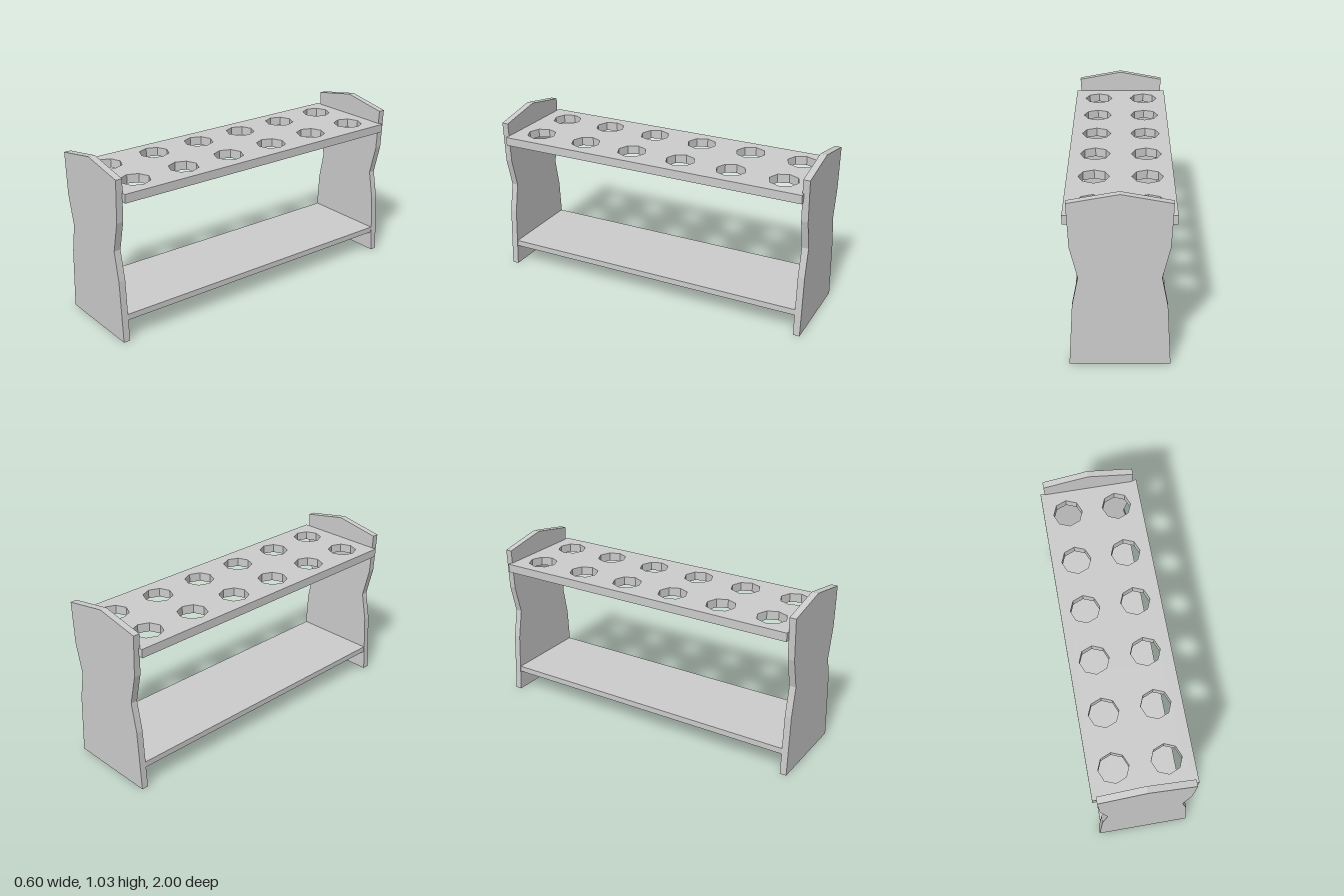
import * as THREE from 'three';

const material = new THREE.MeshStandardMaterial({ color: 0xcccccc, flatShading: true });

function addPart(group, name, geometry, x, y, z) {
  const mesh = new THREE.Mesh(geometry, material);
  mesh.name = name;
  mesh.position.set(x, y, z);
  group.add(mesh);
  return mesh;
}

export function createModel() {
  const group = new THREE.Group();
  group.name = 'tubeRack';

  // End panels: waisted outline with a shallow peak, mirrored in x
  const half = [[0.277, 0], [0.256, 0.37], [0.222, 0.545], [0.265, 0.725], [0.277, 0.977]];
  const outline = [
    ...half, [0, 1.028],
    ...half.slice().reverse().map(([x, y]) => [-x, y]),
  ].map(([x, y]) => new THREE.Vector2(x, y));
  const thickness = 0.04;
  const panel = new THREE.ExtrudeGeometry(new THREE.Shape(outline), { depth: thickness, bevelEnabled: false });
  addPart(group, 'frontPanel', panel, 0, 0, 1 - thickness);
  addPart(group, 'backPanel', panel, 0, 0, -1);

  // Top shelf: drawn in plan (shape y becomes -z) with two rows of octagonal holes
  const w = 0.3, front = -0.962, back = 0.968;
  const plan = new THREE.Shape([
    new THREE.Vector2(-w, front), new THREE.Vector2(w, front),
    new THREE.Vector2(w, back), new THREE.Vector2(-w, back),
  ]);
  const sides = 8, radius = 0.088;
  for (const cx of [-0.153, 0.147]) {
    for (let row = 0; row < 6; row++) {
      const cy = 0.809 - row * 0.322;
      const points = [];
      for (let i = 0; i < sides; i++) {
        const a = -i / sides * Math.PI * 2;
        points.push(new THREE.Vector2(cx + radius * Math.cos(a), cy + radius * Math.sin(a)));
      }
      plan.holes.push(new THREE.Path(points));
    }
  }
  const top = new THREE.ExtrudeGeometry(plan, { depth: 0.052, bevelEnabled: false });
  top.rotateX(-Math.PI / 2);
  addPart(group, 'topShelf', top, 0, 0.843, 0);

  // Bottom shelf
  addPart(group, 'bottomShelf', new THREE.BoxGeometry(0.53, 0.036, 1.924), 0, 0.143, 0);

  return group;
}
